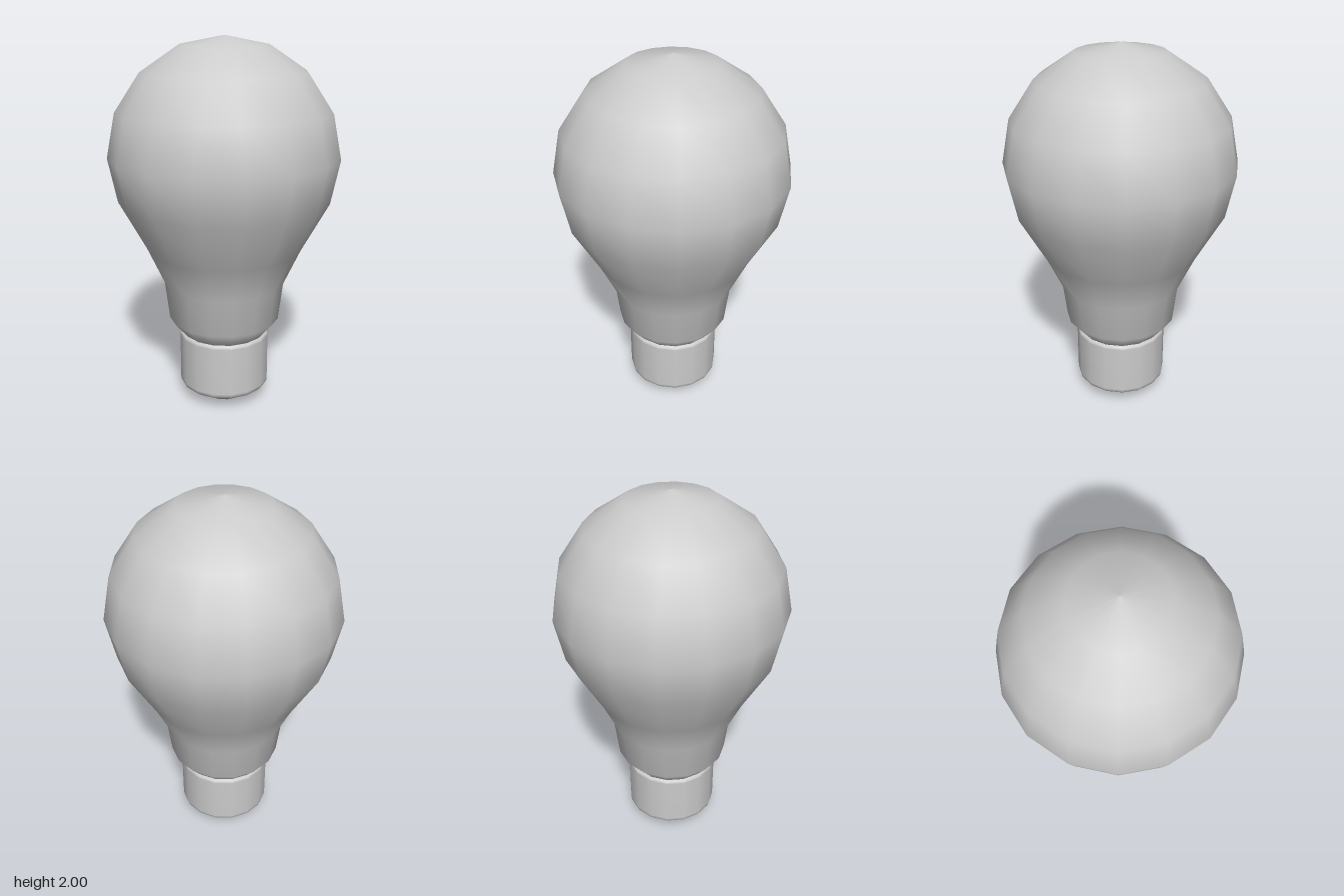
import * as THREE from 'three';

const SIDES = 16;
const material = new THREE.MeshStandardMaterial({ color: 0xcccccc });

// Smooth turned part from [radius, height] points, listed bottom to top
function turned(name, points) {
  const profile = points.map(([r, y]) => new THREE.Vector2(r, y));
  const mesh = new THREE.Mesh(new THREE.LatheGeometry(profile, SIDES), material);
  mesh.name = name;
  return mesh;
}

export function createModel() {
  const group = new THREE.Group();
  group.name = 'lightBulb';

  // Glass: tapered neck running into a spherical dome
  const radius = 0.61, centreY = 1.39;
  const glass = [[0.235, 0.395], [0.305, 0.48], [0.33, 0.69], [0.42, 0.89]];
  for (let i = -1; i <= 4; i++) {
    const a = (i * Math.PI) / 8;
    glass.push([i === 4 ? 0 : radius * Math.cos(a), centreY + radius * Math.sin(a)]);
  }
  group.add(turned('glassBulb', glass));

  // Screw base: plain sleeve with softened rims and a tapered foot
  group.add(turned('baseSleeve', [
    [0.125, 0.005], [0.235, 0.075], [0.247, 0.088], [0.25, 0.105],
    [0.25, 0.375], [0.247, 0.388], [0.235, 0.395],
  ]));

  // Flat contact closing the foot
  const contact = new THREE.Mesh(new THREE.CylinderGeometry(0.125, 0.12, 0.005, SIDES), material);
  contact.name = 'baseContact';
  contact.position.y = 0.0025;
  group.add(contact);

  return group;
}
